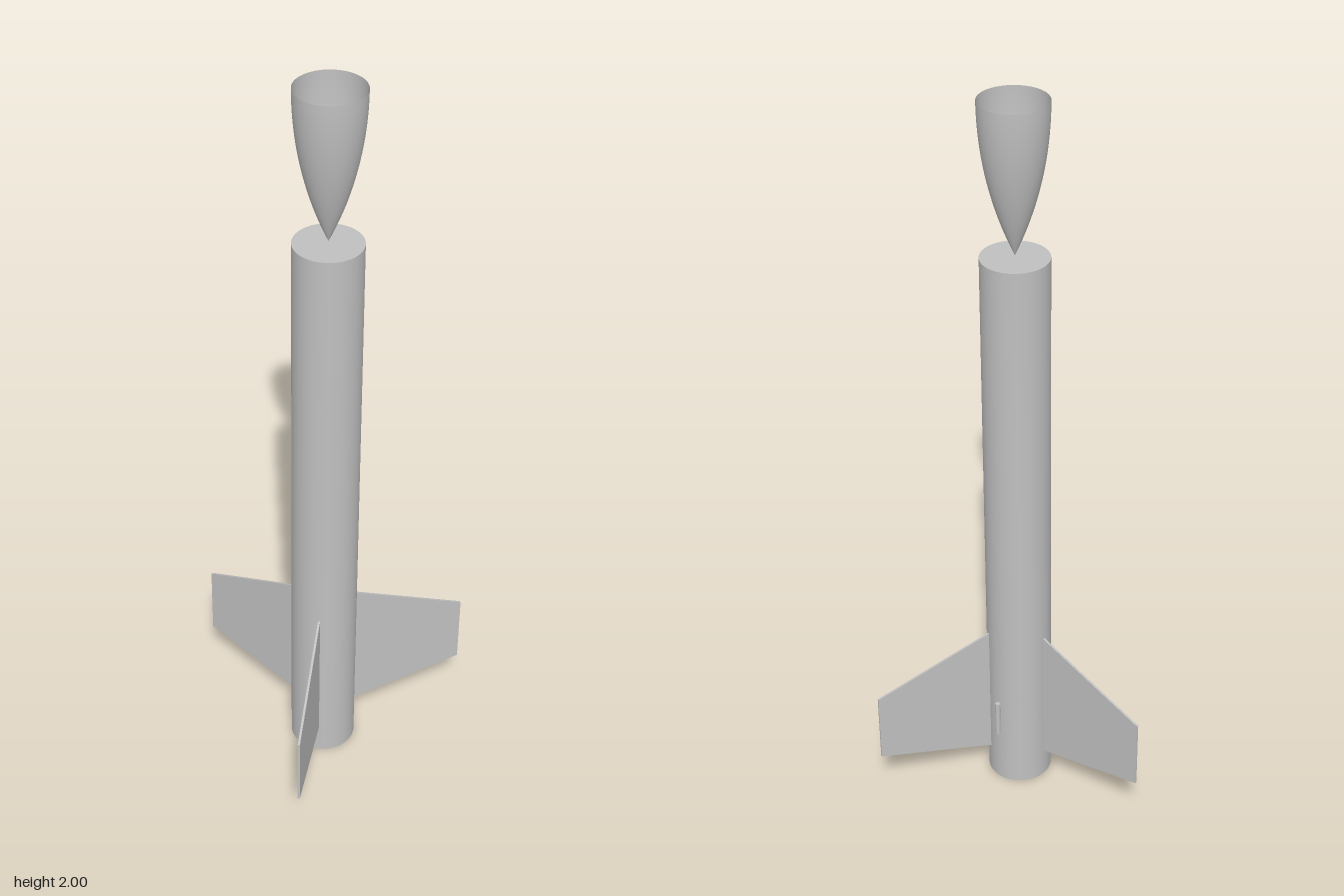
import * as THREE from 'three';

const R = 0.087;       // body radius
const BODY_H = 1.6;    // body tube height
const FIN_T = 0.006;   // fin thickness

export function createModel() {
  const grey = new THREE.MeshStandardMaterial({ color: 0xc0c0c0, side: THREE.DoubleSide });
  grey.name = 'light grey';

  const model = new THREE.Group();
  model.name = 'rocket';

  // Everything shares one upright axis, set forward so the fins are centred
  const rocket = new THREE.Group();
  rocket.name = 'rocketAssembly';
  rocket.position.z = 0.099;
  model.add(rocket);

  const add = (name, geometry, x = 0, y = 0, z = 0) => {
    const mesh = new THREE.Mesh(geometry, grey);
    mesh.name = name;
    mesh.position.set(x, y, z);
    rocket.add(mesh);
    return mesh;
  };

  // Closed body tube
  add('bodyTube', new THREE.CylinderGeometry(R, R, BODY_H, 64), 0, BODY_H / 2);

  // Hollow ogive nose cone, tip down and open at the top
  const length = 0.395;
  const rho = (R * R + length * length) / (2 * R);
  const profile = [];
  for (let i = 0; i <= 24; i++) {
    const h = (length * i) / 24;
    const r = Math.sqrt(rho * rho - (length - h) ** 2) + R - rho;
    profile.push(new THREE.Vector2(Math.max(r, 0), h));
  }
  add('noseCone', new THREE.LatheGeometry(profile, 64), 0, 2 - length);

  // Three swept fins, one at the back and two towards the front
  const finShape = new THREE.Shape([
    new THREE.Vector2(R - 0.001, 0.085),
    new THREE.Vector2(0.405, 0.145),
    new THREE.Vector2(0.405, 0.345),
    new THREE.Vector2(R - 0.001, 0.482),
  ]);
  const finGeometry = new THREE.ExtrudeGeometry(finShape, { depth: FIN_T, bevelEnabled: false });
  finGeometry.translate(0, 0, -FIN_T / 2);
  const fins = { backFin: 90, leftFin: -30, rightFin: 210 };
  for (const [name, degrees] of Object.entries(fins)) {
    add(name, finGeometry).rotation.y = THREE.MathUtils.degToRad(degrees);
  }

  // Small launch lug on the left side
  add('launchLug', new THREE.CylinderGeometry(0.007, 0.007, 0.105, 24), R + 0.007, 0.217);

  return model;
}
